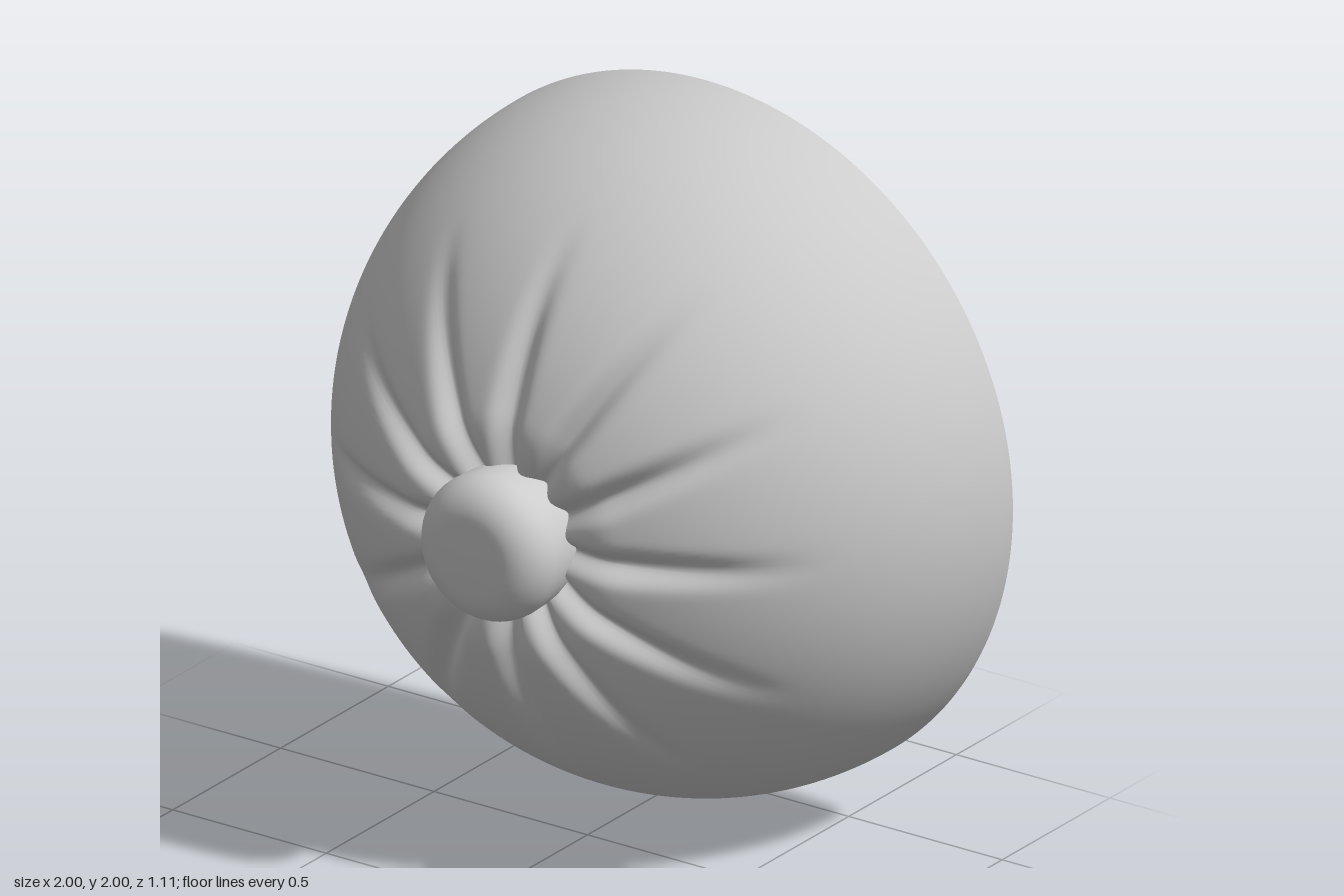
import * as THREE from 'three';
import { mergeVertices } from 'three/addons/utils/BufferGeometryUtils.js';

const BACK = -0.55;
const GROOVES = 12;

// Depth of the pleat pressed into the dome at (x, y), measured from its axis
function pleatDepth(x, y) {
  const r = Math.hypot(x, y);
  if (r < 0.05 || r > 0.84) return 0;
  const step = (Math.PI * 2) / GROOVES;
  const a = Math.atan2(y, x);
  const across = r * Math.sin(a - Math.round(a / step) * step);
  const fade = 1 - THREE.MathUtils.smoothstep(r, 0.3, 0.84);
  const width = 0.022 + 0.014 * Math.min(1, r / 0.4);
  return 0.055 * fade * Math.exp(-((across / width) ** 2));
}

// Half ball with a flattened, pleated crown
function domeGeometry() {
  const rings = 72;
  const profile = [];
  for (let i = 0; i <= rings; i++) {
    const t = (i / rings) * Math.PI / 2;
    profile.push(new THREE.Vector2(i === rings ? 0 : Math.cos(t), Math.sin(t)));
  }
  let geo = new THREE.LatheGeometry(profile, 288);
  geo.rotateX(Math.PI / 2);
  geo.deleteAttribute('uv');
  geo.deleteAttribute('normal');
  geo = mergeVertices(geo, 1e-5);
  const p = geo.attributes.position;
  for (let i = 0; i < p.count; i++) {
    const x = p.getX(i), y = p.getY(i), z = p.getZ(i);
    const r = Math.hypot(x, y);
    const dip = 0.075 * (1 - THREE.MathUtils.smoothstep(r, 0.08, 0.36));
    const depth = pleatDepth(x, y);
    // pleats sink along the surface normal, the dip along the axis
    p.setXYZ(i, x * (1 - depth), y * (1 - depth), z * (1 - depth) - dip);
  }
  geo.computeVertexNormals();
  return geo;
}

export function createModel() {
  const group = new THREE.Group();
  const material = new THREE.MeshStandardMaterial({ color: 0xcccccc });
  const add = (name, geometry, z) => {
    const mesh = new THREE.Mesh(geometry, material);
    mesh.name = name;
    mesh.position.set(0, 1, z);
    group.add(mesh);
    return mesh;
  };

  add('pleatedDome', domeGeometry(), BACK);

  // Flat back
  add('backPanel', new THREE.CircleGeometry(1, 288), BACK).rotation.y = Math.PI;

  // Rounded button in the middle of the pleats
  const outline = [new THREE.Vector2(0.19, 0.3), new THREE.Vector2(0.205, 0.37)];
  for (let i = 0; i <= 12; i++) {
    const t = (i / 12) * Math.PI / 2;
    outline.push(new THREE.Vector2(0.1 + 0.108 * Math.cos(t), 0.44 + 0.11 * Math.sin(t)));
  }
  outline.push(new THREE.Vector2(0.05, 0.554), new THREE.Vector2(0, 0.555));
  add('button', new THREE.LatheGeometry(outline, 48).rotateX(Math.PI / 2), 0);

  return group;
}
